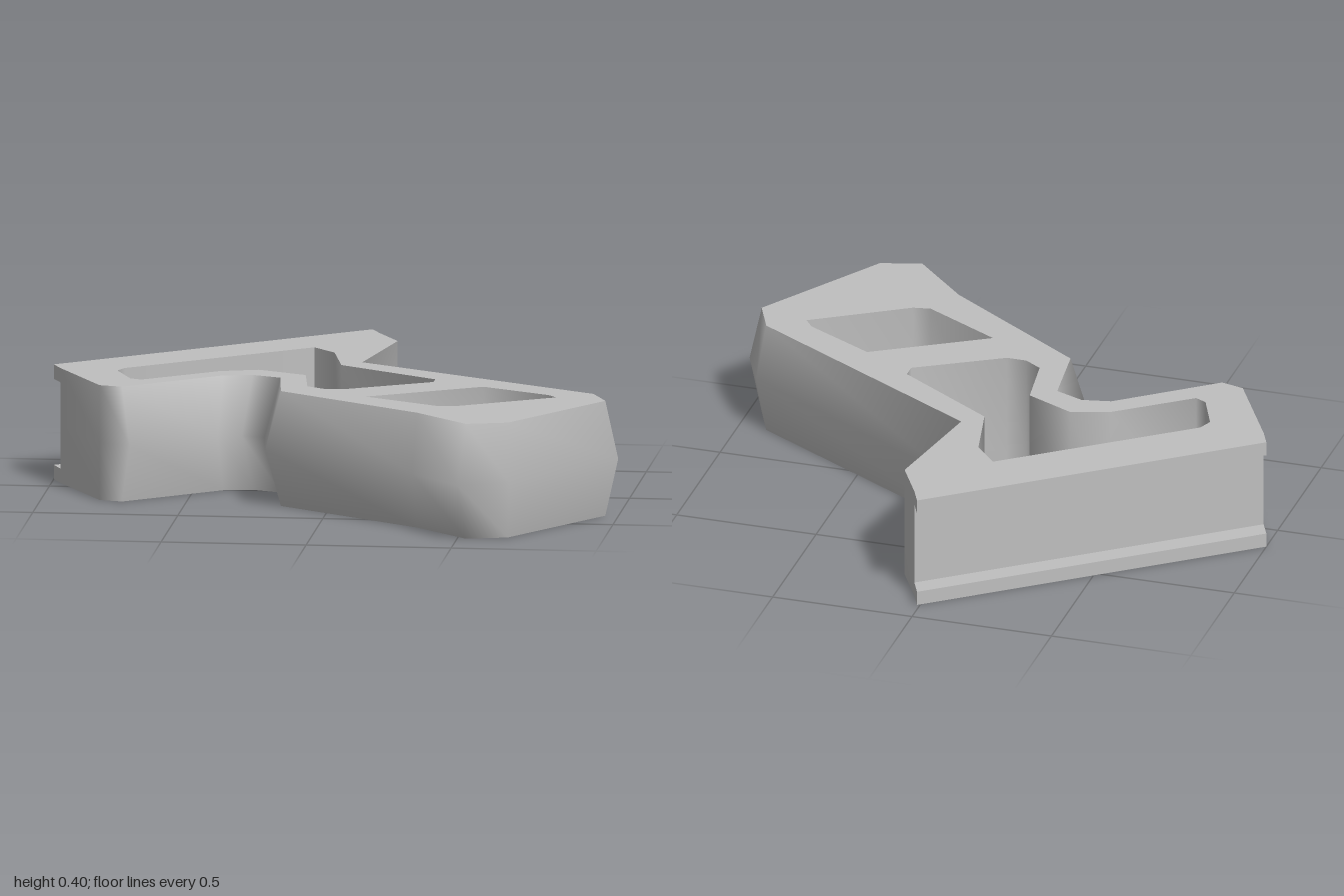
import * as THREE from 'three';
import { toCreasedNormals } from 'three/addons/utils/BufferGeometryUtils.js';

const H = 0.4, LIP = 0.05;

// Outline as [x, z] at the faces, plus [x, z] at mid height where the wall bulges
const outline = [
  [0.04, -0.845, 0.04, -0.845],
  [0.12, -0.70, 0.12, -0.70],
  [0.045, -0.29, 0.08, -0.32],
  [0.90, 0.21, 0.93, 0.19],
  [0.955, 0.335, 1.0, 0.34],
  [0.67, 0.78, 0.68, 0.83],
  [0.53, 0.82, 0.51, 0.90],
  [0.34, 0.63, 0.33, 0.70],
  [-0.17, 0.28, -0.22, 0.31],
  [-0.20, 0.03, -0.25, 0.08],
  [-0.30, -0.01, -0.33, 0.06],
  [-0.40, 0.01, -0.41, 0.08],
  [-0.72, 0.26, -0.69, 0.29],
  [-0.80, 0.24, -0.80, 0.24],
  [-0.97, -0.065, -0.97, -0.065],
];
const largeHole = [
  [-0.77, -0.04], [-0.75, -0.09], [-0.15, -0.55], [-0.07, -0.46], [-0.02, -0.23],
  [0.33, 0], [0.33, 0.05], [0.04, 0.22], [-0.03, 0.22], [-0.09, 0.18],
  [-0.12, -0.03], [-0.29, -0.11], [-0.42, -0.07], [-0.67, 0.12], [-0.71, 0.10],
];
const smallHole = [[0.51, 0.12], [0.75, 0.25], [0.78, 0.29], [0.46, 0.49], [0.40, 0.50], [0.13, 0.35]];

// Wall strip through rows of points: rows = [[y, [[x, z], ...]], ...] from bottom to top
function wall(rows, closed) {
  const n = rows[0][1].length, pos = [], idx = [];
  for (const [y, pts] of rows) for (const [x, z] of pts) pos.push(x, y, z);
  for (let r = 0; r < rows.length - 1; r++) {
    for (let i = 0; i < (closed ? n : n - 1); i++) {
      const a = r * n + i, b = r * n + (i + 1) % n;
      idx.push(a, a + n, b + n, a, b + n, b);
    }
  }
  const g = new THREE.BufferGeometry();
  g.setAttribute('position', new THREE.Float32BufferAttribute(pos, 3));
  g.setIndex(idx);
  g.computeVertexNormals();
  return g;
}

// Shape from [x, z] points; sign -1 for parts turned to face up, 1 for down
function shapeOf(pts, sign, holes = []) {
  const vec = (list) => list.map(([x, z]) => new THREE.Vector2(x, sign * z));
  const s = new THREE.Shape(vec(pts));
  s.holes = holes.map((h) => new THREE.Path(vec(h)));
  return s;
}

export function createModel() {
  const model = new THREE.Group();
  model.name = 'bracket';
  const gray = new THREE.MeshStandardMaterial({ color: 0xbfbfbf });
  gray.name = 'gray';
  const add = (name, geometry) => {
    const m = new THREE.Mesh(geometry, gray);
    m.name = name;
    model.add(m);
  };

  const face = outline.map(([x, z]) => [x, z]);
  const middle = outline.map(([, , x, z]) => [x, z]);
  const holes = [largeHole, smallHole];

  // Flat top and bottom with both openings
  add('topFace', new THREE.ShapeGeometry(shapeOf(face, -1, holes)).rotateX(-Math.PI / 2).translate(0, H, 0));
  add('bottomFace', new THREE.ShapeGeometry(shapeOf(face, 1, holes)).rotateX(Math.PI / 2));

  // Smooth outer wall, bulging at mid height
  add('outerWall', wall([[0, face], [H / 2, middle], [H, face]], false));

  // Straight walls of the openings
  holes.forEach((h, i) => {
    const pts = [...h].reverse();
    add(i ? 'smallHoleWall' : 'largeHoleWall', toCreasedNormals(wall([[0, pts], [H, pts]], true), 1.15));
  });

  // Groove floor along the straight edge, with a lip above and below it
  const innerA = face[face.length - 1], innerB = face[0];
  const grooveEdge = [innerA, innerB];
  add('grooveFloor', wall([[0, grooveEdge], [H, grooveEdge]], false));
  const lip = [[-1, -0.13], [0.01, -0.91], innerB, innerA];
  for (const [name, y] of [['lowerLip', 0], ['upperLip', H - LIP]]) {
    const g = new THREE.ExtrudeGeometry(shapeOf(lip, -1), { depth: LIP, bevelEnabled: false });
    add(name, g.rotateX(-Math.PI / 2).translate(0, y, 0));
  }
  return model;
}
